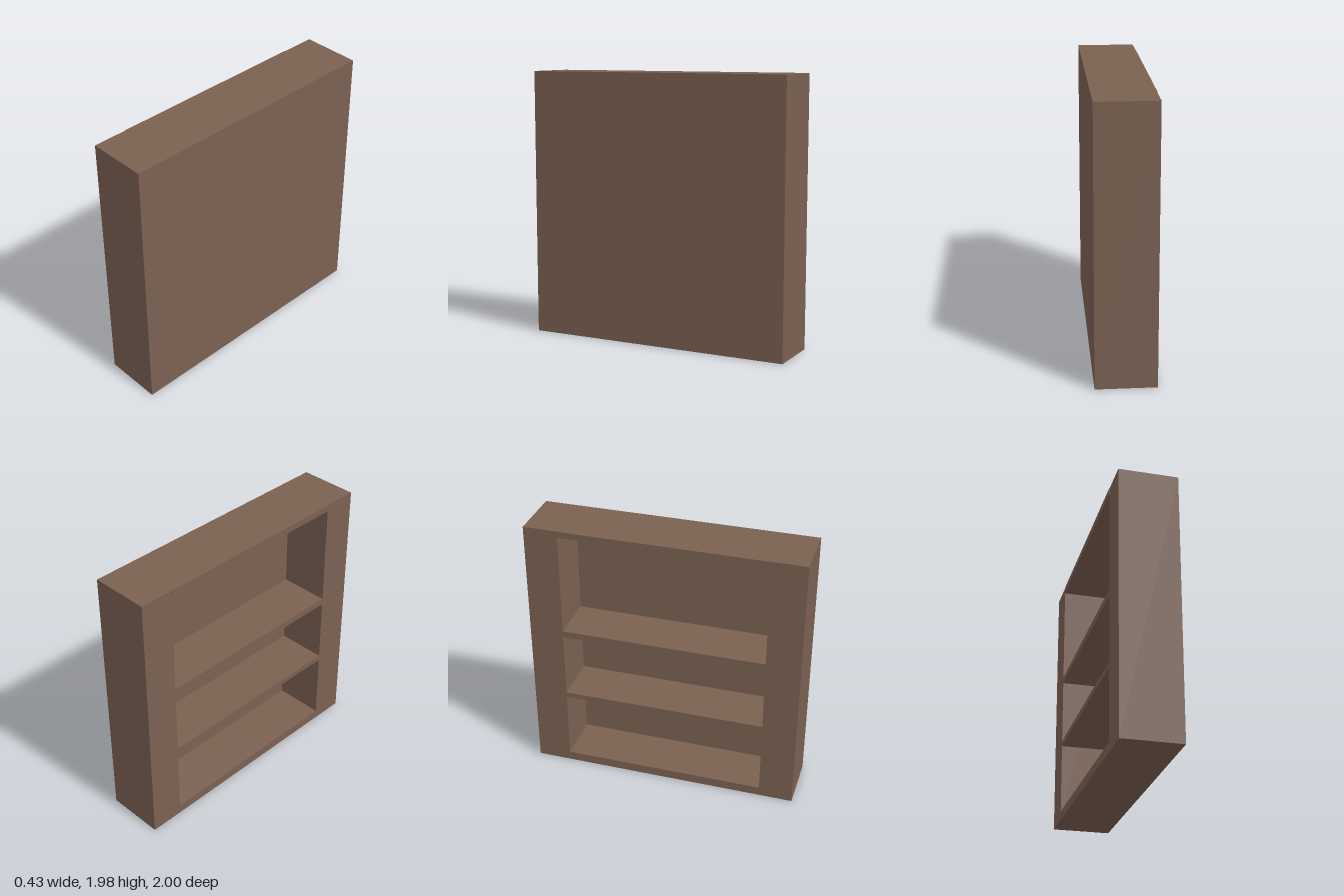
import * as THREE from 'three';

export function createModel() {
  const model = new THREE.Group();
  model.name = 'bookcase';
  const wood = new THREE.MeshStandardMaterial({ color: 0x7b6152 });
  wood.name = 'brown wood';

  // Box board given by its min and max on each axis
  function board(name, [x0, x1], [y0, y1], [z0, z1]) {
    const mesh = new THREE.Mesh(new THREE.BoxGeometry(x1 - x0, y1 - y0, z1 - z0), wood);
    mesh.position.set((x0 + x1) / 2, (y0 + y1) / 2, (z0 + z1) / 2);
    mesh.name = name;
    model.add(mesh);
  }

  const height = 1.975, open = -0.214, inner = 0.157, back = 0.215;
  const bay = [-0.75, 0.75];

  // Thick end walls
  board('leftEndWall', [open, back], [0, height], [0.75, 1]);
  board('rightEndWall', [open, back], [0, height], [-1, -0.75]);

  // Closed back panel
  board('backPanel', [inner, back], [0, height], bay);

  // Plinth, shelves and top, open towards -x
  board('plinth', [open, inner], [0, 0.068], bay);
  board('lowerShelf', [open, inner], [0.59, 0.632], bay);
  board('upperShelf', [open, inner], [1.121, 1.17], bay);
  board('topBoard', [-0.217, inner], [1.927, height], bay);

  return model;
}
